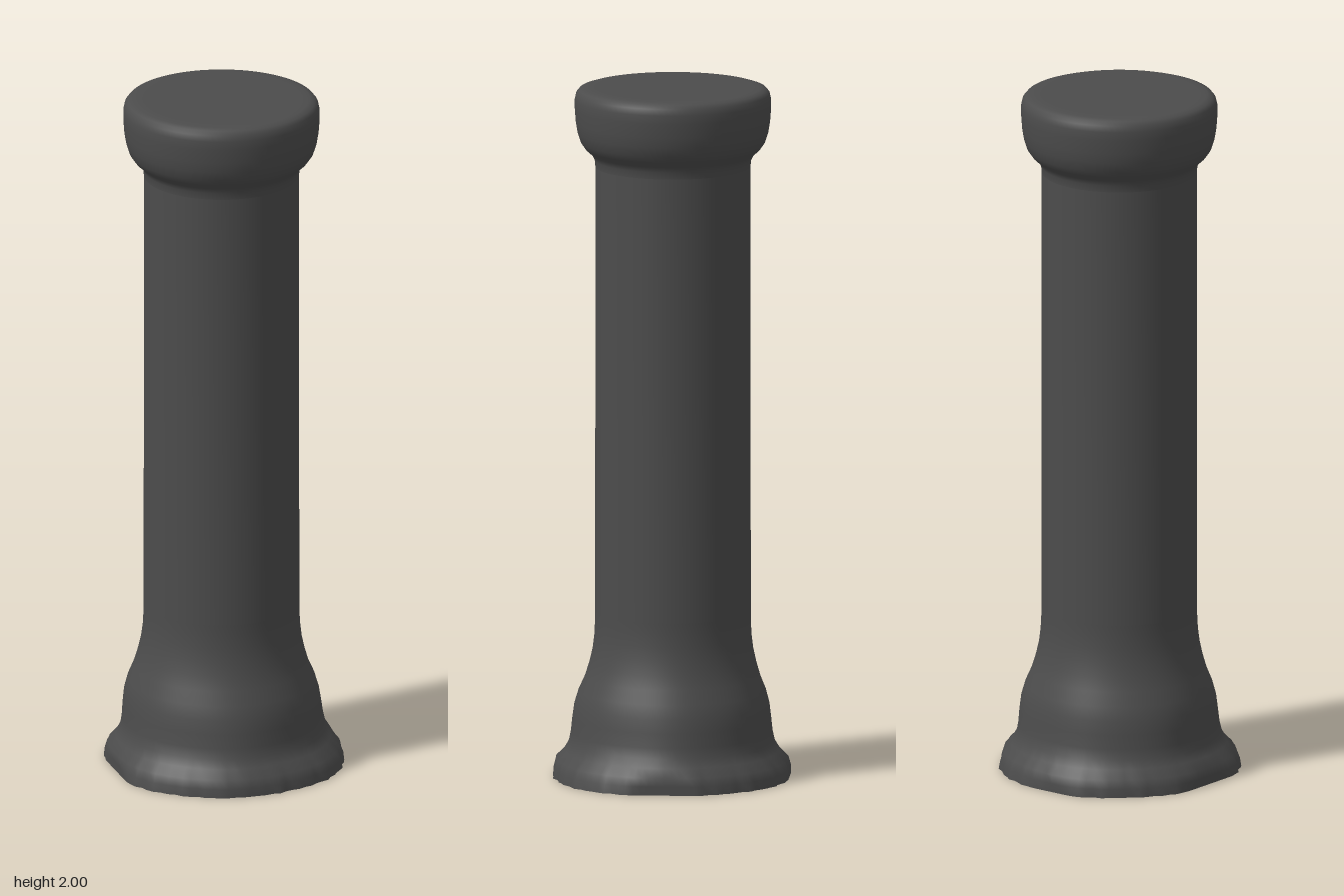
import * as THREE from 'three';
import { mergeVertices } from 'three/addons/utils/BufferGeometryUtils.js';

const SEGMENTS = 96;

// Smooth turned surface from [radius, y] pairs, optionally reshaped by a rule
function turned(name, profile, material, rule) {
  let geo = new THREE.LatheGeometry(profile.map(([r, y]) => new THREE.Vector2(r, y)), SEGMENTS);
  geo.deleteAttribute('uv');
  geo.deleteAttribute('normal');
  const pos = geo.attributes.position;
  const v = new THREE.Vector3();
  for (let i = 0; i < pos.count; i++) {
    v.fromBufferAttribute(pos, i);
    if (rule) rule(v);
    pos.setXYZ(i, v.x - 0.006 * Math.min(1, v.y / 0.3), v.y, v.z - 0.004 * Math.min(1, v.y / 0.3));
  }
  geo = mergeVertices(geo, 1e-5);
  geo.computeVertexNormals();
  const mesh = new THREE.Mesh(geo, material);
  mesh.name = name;
  return mesh;
}

// Worn foot: uneven swelling above, ragged and slightly squared rim below
function weather(v) {
  const a = Math.atan2(v.z, v.x);
  const low = THREE.MathUtils.clamp(1 - v.y / 0.42, 0, 1);
  const rim = THREE.MathUtils.clamp(1 - v.y / 0.09, 0, 1);
  const k = 1 + low * (0.012 * Math.sin(3 * a + 0.6 + v.y * 12) + 0.008 * Math.sin(7 * a + 2))
    + rim * (0.009 * Math.sin(38 * a) + 0.006 * Math.sin(23 * a + 1));
  v.x = THREE.MathUtils.clamp(v.x * k, -0.326, 0.326);
  v.z = THREE.MathUtils.clamp(v.z * k, -0.338, 0.338);
}

export function createModel() {
  const group = new THREE.Group();
  group.name = 'column';
  const stone = new THREE.MeshStandardMaterial({ color: 0x4c4c4c, side: THREE.DoubleSide });
  stone.name = 'darkStone';

  // Flared foot, open underneath
  group.add(turned('flaredBase', [
    [0.343, 0], [0.34, 0.025], [0.332, 0.05], [0.308, 0.075], [0.294, 0.1], [0.288, 0.13],
    [0.284, 0.17], [0.279, 0.21], [0.268, 0.25], [0.251, 0.29], [0.239, 0.33],
    [0.23, 0.37], [0.225, 0.41], [0.223, 0.45], [0.223, 0.48],
  ], stone, weather));

  // Straight shaft
  group.add(turned('shaft', [[0.223, 0.48], [0.222, 1.1], [0.222, 1.77]], stone));

  // Capital with a rounded rim and a flat top
  group.add(turned('capital', [
    [0.222, 1.77], [0.224, 1.79], [0.232, 1.806], [0.25, 1.822], [0.264, 1.842], [0.273, 1.87],
    [0.278, 1.9], [0.281, 1.94], [0.281, 1.965], [0.277, 1.983], [0.268, 1.994], [0.252, 1.999],
    [0.225, 2], [0.12, 2], [0, 2],
  ], stone));

  return group;
}
